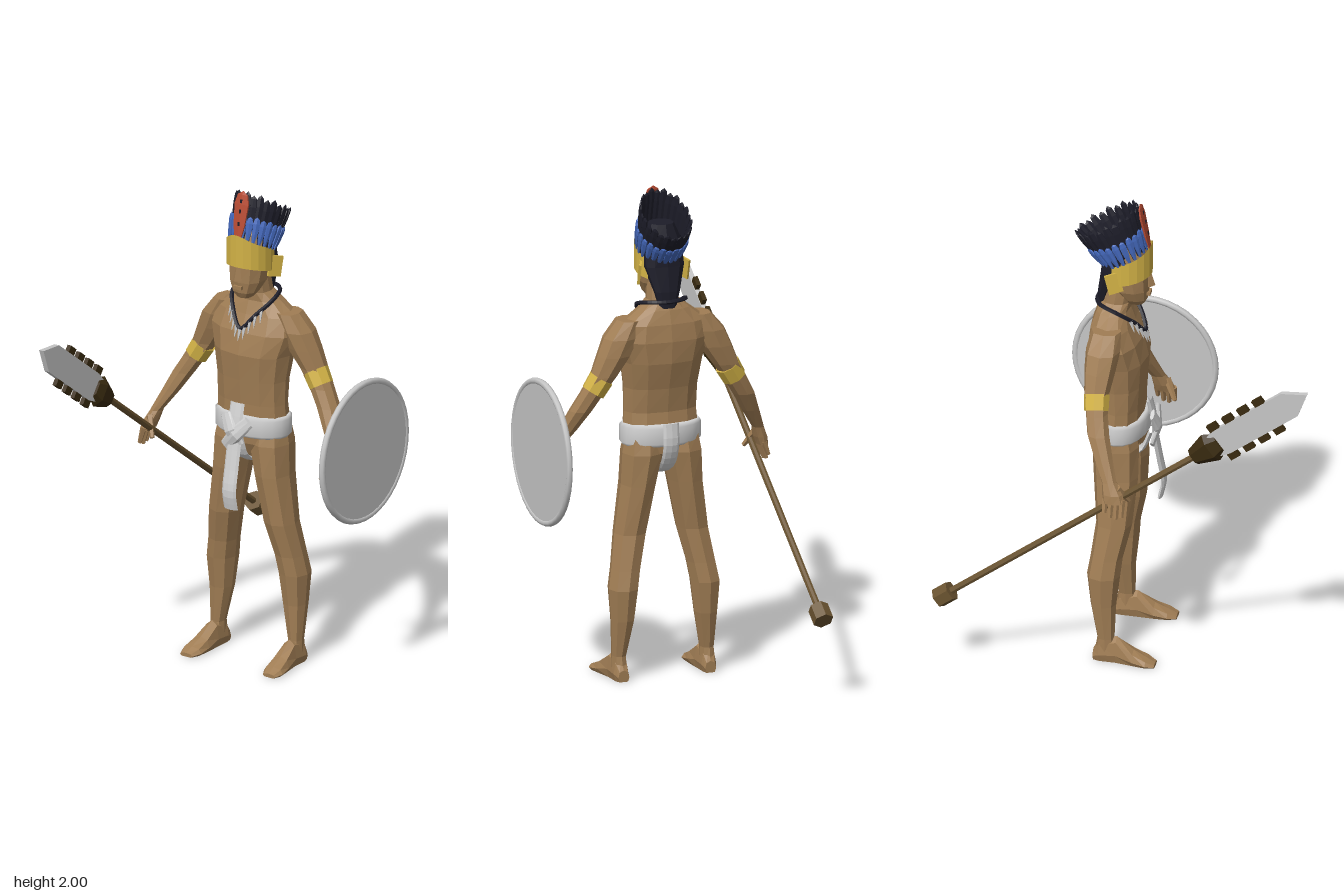
import * as THREE from 'three';

const mat = (name, color) => Object.assign(new THREE.MeshStandardMaterial({ color }), { name });
const skin = mat('skin', 0xa07d54), gold = mat('gold', 0xd2b246), blue = mat('blue feather', 0x4468bb);
const black = mat('black feather and hair', 0x1d1d29), red = mat('red feather', 0xb54a32);
const cloth = mat('cloth', 0xd0d0d0), steel = mat('grey stone', 0xc6c6c6);
const wood = mat('wood', 0x6a5330), darkWood = mat('dark wood', 0x3a2b10);
gold.side = THREE.DoubleSide;
const V = (x, y, z) => new THREE.Vector3(x, y, z);

function add(parent, name, geo, material, flat = true) {
  if (flat) {
    if (geo.index) geo = geo.toNonIndexed();
    geo.computeVertexNormals();
  }
  const mesh = new THREE.Mesh(geo, material);
  mesh.name = name;
  parent.add(mesh);
  return mesh;
}

// Skin over oval rings [x, y, z, halfWidth, halfDepth], ordered along +axis
function loft(rings, n = 8, axis = 'y', power = 0.85) {
  const pos = [], idx = [];
  const bend = v => Math.sign(v) * Math.abs(v) ** power;
  for (const [x, y, z, a, b] of rings) {
    for (let j = 0; j < n; j++) {
      const t = (j / n) * Math.PI * 2, c = bend(Math.cos(t)), s = bend(Math.sin(t));
      if (axis === 'y') pos.push(x + a * s, Math.max(0, y), z + b * c);
      else pos.push(x + a * c, Math.max(0, y + b * s), z);
    }
  }
  const last = rings.length - 1;
  for (const k of [0, last]) pos.push(...rings[k].slice(0, 3));
  const c0 = rings.length * n;
  for (let j = 0; j < n; j++) {
    const k = (j + 1) % n;
    for (let i = 0; i < last; i++) {
      const A = i * n + j, B = i * n + k;
      idx.push(A, B, B + n, A, B + n, A + n);
    }
    idx.push(c0, k, j, c0 + 1, last * n + j, last * n + k);
  }
  const g = new THREE.BufferGeometry();
  g.setAttribute('position', new THREE.Float32BufferAttribute(pos, 3));
  g.setIndex(idx);
  return g;
}

// Rings given as [y, halfWidth, frontZ, backZ, x]
const body = rows => rows.map(([y, w, f, b, x = 0]) => [x, y, (f + b) / 2, w, (f - b) / 2]);

// Tapered rod from p to q
function rod(parent, name, p, q, r0, r1, n, material) {
  const d = q.clone().sub(p);
  const m = add(parent, name, new THREE.CylinderGeometry(r1, r0, d.length(), n), material);
  m.position.copy(p).addScaledVector(d, 0.5);
  m.quaternion.setFromUnitVectors(V(0, 1, 0), d.normalize());
  return m;
}

// Flattened feather from base to tip, facing the outward direction
function feather(parent, name, base, tip, out, width, material) {
  const profile = [[0.35, 0], [0.8, 0.35], [1, 0.75], [0.7, 0.93], [0, 1]].map(p => new THREE.Vector2(...p));
  const m = add(parent, name, new THREE.LatheGeometry(profile, 6), material);
  const up = tip.clone().sub(base), len = up.length();
  up.normalize();
  const side = up.clone().cross(out).normalize();
  m.quaternion.setFromRotationMatrix(new THREE.Matrix4().makeBasis(side, up, side.clone().cross(up)));
  m.position.copy(base);
  m.scale.set(width, len, 0.008);
}

function buildBody(g) {
  add(g, 'torso', loft(body([
    [0.86, 0.05, -0.04, -0.14], [0.93, 0.14, -0.005, -0.18], [1.0, 0.162, 0, -0.185], [1.1, 0.156, 0, -0.17],
    [1.2, 0.157, 0.008, -0.185], [1.31, 0.172, 0.018, -0.213], [1.4, 0.2, -0.002, -0.218], [1.47, 0.185, -0.035, -0.208],
    [1.525, 0.11, -0.055, -0.19], [1.56, 0.065, -0.05, -0.172], [1.64, 0.058, -0.035, -0.16]]), 12), skin);
  add(g, 'head', loft(body([
    [1.55, 0.03, 0, -0.07], [1.575, 0.052, 0.014, -0.09], [1.62, 0.073, 0.02, -0.13], [1.68, 0.08, 0.02, -0.155],
    [1.75, 0.084, 0.02, -0.16], [1.82, 0.075, 0, -0.15], [1.85, 0.04, -0.03, -0.12]]), 10), skin);
  rod(g, 'nose', V(0, 1.632, 0.024), V(0, 1.7, 0.016), 0.021, 0.008, 4, skin);
  add(g, 'lips', new THREE.BoxGeometry(0.04, 0.014, 0.014), skin).position.set(0, 1.6, 0.02);

  for (const s of [1, -1]) {
    add(g, 'leg', loft(body([
      [0.04, 0.03, -0.07, -0.16, 0.19], [0.1, 0.028, -0.08, -0.15, 0.19], [0.25, 0.047, -0.075, -0.18, 0.18],
      [0.38, 0.06, -0.06, -0.195, 0.177], [0.46, 0.06, -0.052, -0.183, 0.163], [0.6, 0.065, -0.02, -0.167, 0.135],
      [0.8, 0.07, -0.003, -0.185, 0.102], [0.93, 0.082, -0.003, -0.195, 0.085], [1.0, 0.075, -0.02, -0.18, 0.08]])
      .map(([x, ...r]) => [s * x, ...r])), skin);
    add(g, 'foot', loft([
      [0.188, 0.018, -0.165, 0.024, 0.03], [0.19, 0.03, -0.14, 0.032, 0.06], [0.19, 0.035, -0.07, 0.033, 0.075],
      [0.195, 0.02, 0, 0.042, 0.04], [0.2, 0.012, 0.055, 0.046, 0.022], [0.203, 0.006, 0.09, 0.03, 0.01]]
      .map(([x, ...r]) => [s * x, ...r]), 8, 'z'), skin);
    add(g, 'arm', loft([
      [0.468, 0.885, -0.02, 0.022, 0.045], [0.458, 0.92, -0.028, 0.027, 0.042], [0.442, 0.965, -0.045, 0.024, 0.03],
      [0.395, 1.05, -0.08, 0.037, 0.038], [0.353, 1.13, -0.11, 0.046, 0.045], [0.31, 1.2, -0.125, 0.05, 0.045],
      [0.265, 1.27, -0.135, 0.056, 0.052], [0.22, 1.35, -0.132, 0.07, 0.064], [0.188, 1.42, -0.127, 0.072, 0.07],
      [0.15, 1.49, -0.122, 0.05, 0.06]].map(([x, ...r]) => [s * x, ...r])), skin);
    for (let i = 0; i < 4; i++) {
      const z = -0.055 + i * 0.023, drop = [0.845, 0.825, 0.82, 0.83][i];
      rod(g, 'finger', V(s * 0.485, drop, z), V(s * 0.465, 0.9, z), 0.009, 0.014, 5, skin);
    }
    rod(g, 'thumb', V(s * 0.412, 0.87, 0.03), V(s * 0.452, 0.945, -0.01), 0.009, 0.016, 5, skin);
    rod(g, 'armBand', V(s * 0.306, 1.204, -0.128), V(s * 0.272, 1.26, -0.134), 0.05, 0.053, 8, gold);
  }
}

function buildHeaddress(g) {
  add(g, 'hair', loft([
    [0, 1.51, -0.172, 0.03, 0.014], [0, 1.6, -0.16, 0.055, 0.028], [0, 1.7, -0.125, 0.085, 0.05],
    [0, 1.8, -0.09, 0.083, 0.08], [0, 1.87, -0.1, 0.05, 0.05]], 10), black);

  // Headband, tall and peaked in front, lower behind
  const band = new THREE.CylinderGeometry(1, 1, 1, 14, 1, true, -2.3, 4.6);
  const p = band.attributes.position;
  for (let i = 0; i < p.count; i++) {
    const x = p.getX(i), z = p.getZ(i);
    const y = p.getY(i) > 0 ? 1.762 + 0.045 * z + 0.02 * Math.max(0, z) ** 6 : 1.665 + 0.025 * z;
    p.setXYZ(i, 0.095 * x, y, -0.068 + 0.1 * z);
  }
  add(g, 'headband', band, gold);
  for (const s of [1, -1]) {
    const flap = add(g, 'earFlap', new THREE.BoxGeometry(0.01, 0.085, 0.06), gold);
    flap.position.set(s * 0.095, 1.675, -0.105);
    flap.rotation.set(-0.25, s * -0.4, 0);
  }

  // Fan of feathers leaning back, short blue row outside a long black row
  const base = a => V(0.084 * Math.sin(a), 1.755 + 0.045 * Math.cos(a), -0.075 + 0.08 * Math.cos(a));
  const tip = a => V(0.098 * Math.sin(a), 1.925 + 0.072 * Math.cos(a), -0.16 + 0.125 * Math.cos(a));
  const n = 24;
  for (let i = 0; i < n; i++) {
    const a = ((i + 0.5) / n) * Math.PI * 2, out = V(Math.sin(a), 0, Math.cos(a));
    const b = base(a), t = tip(a);
    if (i % 2) t.lerp(b, 0.05);
    feather(g, 'blackFeather', b, t, out, 0.02, black);
    const o = out.clone().multiplyScalar(0.009);
    feather(g, 'blueFeather', b.clone().add(o), b.clone().lerp(t, 0.55).add(o), out, 0.016, blue);
  }
  feather(g, 'redFeather', V(0, 1.79, 0.025), V(0, 2, -0.02), V(0, 0, 1), 0.038, red);
  for (const y of [1.87, 1.92, 1.96]) {
    const mark = add(g, 'featherMark', new THREE.BoxGeometry(0.008, 0.016, 0.006), black);
    mark.position.set(0, y, 0.031 - (y - 1.79) * 0.214);
  }
}

function buildNecklace(g) {
  const half = [[0.055, 1.48, -0.026], [0.1, 1.54, -0.09], [0.075, 1.56, -0.165]];
  const pts = [V(0, 1.42, 0.004), ...half.map(q => V(...q)), V(0, 1.56, -0.19),
    ...half.slice().reverse().map(([x, y, z]) => V(-x, y, z))];
  const curve = new THREE.CatmullRomCurve3(pts, true);
  add(g, 'necklaceCord', new THREE.TubeGeometry(curve, 40, 0.009, 5, true), black);
  for (let i = -4; i <= 4; i++) {
    const q = curve.getPoint((i * 0.04 + 1) % 1);
    rod(g, 'necklaceTooth', V(q.x * 1.1, q.y - 0.048, q.z + 0.017), q, 0.001, 0.009, 5, steel);
  }
}

function buildLoincloth(g) {
  add(g, 'belt', loft(body([[0.962, 0.16, 0.008, -0.19], [0.975, 0.17, 0.022, -0.203],
    [1.04, 0.17, 0.022, -0.203], [1.053, 0.16, 0.008, -0.19]]), 20, 'y', 0.95), cloth, false)
    .geometry.computeVertexNormals();
  const strip = (name, pts) => {
    const m = add(g, name, new THREE.TubeGeometry(new THREE.CatmullRomCurve3(pts), 16, 0.01, 8), cloth);
    m.scale.x = 3.4;
  };
  strip('frontFlap', [V(0, 0.67, 0.066), V(0, 0.74, 0.08), V(0, 0.85, 0.062), V(0, 0.95, 0.045), V(0, 1.02, 0.04), V(0, 1.11, 0.02)]);
  strip('underStrap', [V(0, 0.97, 0.03), V(0, 0.88, -0.01), V(0, 0.845, -0.09), V(0, 0.88, -0.165), V(0, 0.97, -0.208), V(0, 1.06, -0.203)]);
  for (const [x, y, w, r] of [[0.012, 0.985, 0.17, 0.75], [-0.01, 1.0, 0.14, -0.5]]) {
    const fold = add(g, 'knotFold', loft([[0, -w / 2, 0, 0.025, 0.008], [0, 0, 0.012, 0.032, 0.016], [0, w / 2, 0, 0.025, 0.008]]
      .map(q => [q[0], q[1] + 1, ...q.slice(2)])).translate(0, -1, 0), cloth);
    fold.position.set(x, y, 0.042);
    fold.rotation.z = -r;
  }
}

function buildShield(g) {
  const disc = add(g, 'shieldDisc', new THREE.CylinderGeometry(0.285, 0.285, 0.018, 40), steel, false);
  disc.rotation.z = Math.PI / 2;
  const rim = add(g, 'shieldRim', new THREE.TorusGeometry(0.287, 0.0135, 8, 40), steel, false);
  rim.rotation.y = Math.PI / 2;
  g.position.set(0.5025, 0.975, -0.115);
}

// Built along +y from the butt, then tilted forward
function buildSpear(g) {
  rod(g, 'shaft', V(0, 0, 0), V(0, 1.32, 0), 0.014, 0.014, 8, wood);
  rod(g, 'butt', V(0, -0.035, 0), V(0, 0.035, 0), 0.042, 0.042, 6, wood);
  rod(g, 'socketFlare', V(0, 1.27, 0), V(0, 1.36, 0), 0.036, 0.066, 6, darkWood).scale.x = 0.55;
  rod(g, 'socketTop', V(0, 1.36, 0), V(0, 1.405, 0), 0.066, 0.045, 6, darkWood).scale.x = 0.55;
  const outline = [[-0.04, 1.34], [-0.058, 1.42], [-0.058, 1.765], [0, 1.855], [0.058, 1.765], [0.058, 1.42], [0.04, 1.34]];
  const shape = new THREE.Shape(outline.map(q => new THREE.Vector2(...q)));
  const blade = new THREE.ExtrudeGeometry(shape, { depth: 0.022, bevelEnabled: false }).translate(0, 0, -0.011);
  add(g, 'blade', blade, steel).rotation.y = Math.PI / 2;
  for (const s of [1, -1]) for (let i = 0; i < 4; i++) {
    add(g, 'bladeTooth', new THREE.BoxGeometry(0.018, 0.045, 0.034), darkWood).position.set(0, 1.425 + i * 0.077, s * 0.07);
  }
  g.position.set(-0.452, 0.355, -0.72);
  g.rotation.x = 0.929;
}

export function createModel() {
  const model = new THREE.Group();
  model.name = 'warrior';
  const group = (name, build, x) => {
    const g = new THREE.Group();
    g.name = name;
    g.position.x = x;
    build(g);
    model.add(g);
  };
  group('body', buildBody, -0.02);
  group('headdress', buildHeaddress, -0.02);
  group('necklace', buildNecklace, -0.02);
  group('loincloth', buildLoincloth, -0.02);
  group('shield', buildShield, 0);
  group('spear', buildSpear, 0);
  return model;
}
